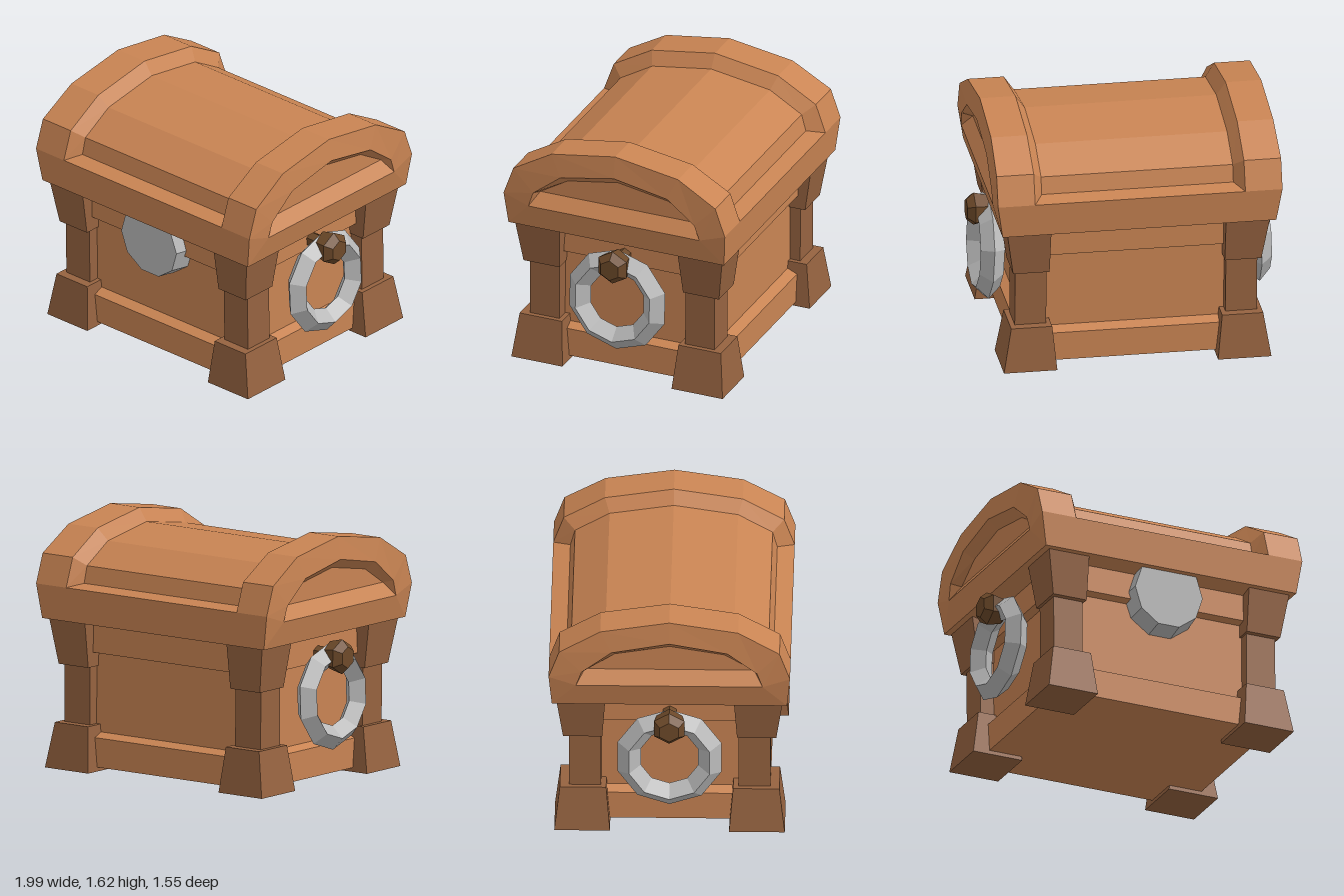
import * as THREE from 'three';

const flat = (color, name) => {
  const m = new THREE.MeshStandardMaterial({ color, flatShading: true });
  m.name = name;
  return m;
};

// Skins a row of equal-length closed rings and caps both ends
function loft(rings) {
  const n = rings[0].length, last = (rings.length - 1) * n, index = [];
  for (let i = 0; i < rings.length - 1; i++) {
    for (let j = 0; j < n; j++) {
      const k = (j + 1) % n;
      const a = i * n + j, b = a + n, c = (i + 1) * n + k, d = i * n + k;
      index.push(a, b, c, a, c, d);
    }
  }
  for (let k = 1; k < n - 1; k++) {
    index.push(0, k, k + 1, last, last + k + 1, last + k);
  }
  const g = new THREE.BufferGeometry();
  g.setAttribute('position', new THREE.Float32BufferAttribute(rings.flat(2), 3));
  g.setIndex(index);
  const out = g.toNonIndexed();
  out.computeVertexNormals();
  return out;
}

// Horizontal rectangle used as one level of a stacked loft
const level = (y, x0, x1, z0, z1) => [[x1, y, z1], [x0, y, z1], [x0, y, z0], [x1, y, z0]];
const centredLevel = (y, x, z) => level(y, -x, x, -z, z);

// Lid cross-section: half profile of [z, y, x] mirrored over the ridge
function section(half, side, x) {
  const p = [...half, ...half.slice(0, -1).reverse().map(([z, y, px]) => [-z, y, px])];
  return p.map(([z, y, px]) => [side * (x ?? px), y, z]);
}

// Upright decagon, leaning slightly forward at the top
const decagon = (r, cy, z) => Array.from({ length: 10 }, (_, i) => {
  const a = -i * Math.PI / 5;
  return [r * Math.cos(a), cy + r * Math.sin(a), z + 0.04 * r * Math.sin(a)];
});

export function createModel() {
  const wood = flat(0xc98453, 'wood');
  const darkWood = flat(0x966340, 'dark wood');
  const metal = flat(0xbababa, 'metal');
  const knobWood = flat(0x6e4a2a, 'knob wood');

  const model = new THREE.Group();
  model.name = 'chest';
  const chest = new THREE.Group();
  chest.name = 'chestParts';
  chest.rotation.set(0, 0.004, 0.009); // stands slightly crooked
  chest.position.x = 0.01;
  model.add(chest);
  const add = (geometry, material, name, parent = chest) => {
    const mesh = new THREE.Mesh(geometry, material);
    mesh.name = name;
    parent.add(mesh);
    return mesh;
  };

  // Body with a raised lower skirt and upper band
  add(loft([
    centredLevel(0.035, 0.75, 0.637),
    centredLevel(0.225, 0.75, 0.637),
    centredLevel(0.252, 0.69, 0.57),
    centredLevel(0.763, 0.69, 0.57),
    centredLevel(0.774, 0.75, 0.63),
    centredLevel(0.97, 0.75, 0.63),
  ]), wood, 'body');

  // Corner posts: [y, inner x, outer x, inner z, outer z]
  const postLevels = [
    [0.008, 0.52, 0.865, 0.38, 0.735],
    [0.303, 0.55, 0.815, 0.405, 0.7],
    [0.303, 0.58, 0.783, 0.438, 0.642],
    [0.68, 0.58, 0.783, 0.438, 0.642],
    [0.68, 0.567, 0.803, 0.43, 0.68],
    [0.98, 0.565, 0.85, 0.41, 0.722],
  ];
  for (const sx of [-1, 1]) {
    for (const sz of [-1, 1]) {
      const rings = postLevels.map(([y, xi, xo, zi, zo]) => level(y,
        Math.min(sx * xi, sx * xo), Math.max(sx * xi, sx * xo),
        Math.min(sz * zi, sz * zo), Math.max(sz * zi, sz * zo)));
      add(loft(rings), darkWood, 'cornerPost');
    }
  }

  // Lid: thick end arches, sunken middle, recessed panel in each end
  const outer = [[0.75, 0.977, 0.885], [0.77, 1.2, 0.92], [0.77, 1.2, 0.92],
    [0.703, 1.388, 0.92], [0.44, 1.54, 0.913], [0, 1.61, 0.91]];
  const inner = [[0.75, 0.977], [0.77, 1.2], [0.66, 1.22], [0.63, 1.33], [0.41, 1.46], [0, 1.525]];
  const rim = [[0.595, 1.142, 0.925], [0.595, 1.142, 0.925], [0.595, 1.142, 0.925],
    [0.56, 1.245, 0.93], [0.37, 1.393, 0.93], [0, 1.463, 0.93]];
  const floor = [[0.54, 1.228, 0.86], [0.54, 1.228, 0.86], [0.54, 1.228, 0.86],
    [0.54, 1.228, 0.86], [0.35, 1.342, 0.86], [0, 1.402, 0.86]];
  const endRings = (s) => [section(floor, s), section(rim, s), section(outer, s),
    section(outer, s, 0.68), section(inner, s, 0.62)];
  add(loft([...endRings(-1), ...endRings(1).reverse()]), wood, 'lid');

  // Underside of the lid, sinking a little towards the body
  add(loft([
    centredLevel(0.948, 0.74, 0.62),
    centredLevel(0.977, 0.885, 0.75),
  ]), wood, 'lidUnderside');

  // Lock plate
  add(loft([decagon(0.25, 0.812, 0.56), decagon(0.238, 0.828, 0.715)]), metal, 'lockPlate');

  // Ring handle and knob on each end
  const knobProfile = [[0.05, 0.68], [0.05, 0.82], [0.09, 0.85], [0.113, 0.945], [0.07, 0.993], [0, 0.993]];
  for (const s of [1, -1]) {
    const handle = new THREE.Group();
    handle.name = s > 0 ? 'leftHandle' : 'rightHandle';
    handle.rotation.y = s > 0 ? 0 : Math.PI;
    chest.add(handle);

    const ringGeometry = new THREE.TorusGeometry(0.27, 0.078, 4, 10);
    ringGeometry.rotateZ(Math.PI / 2);
    ringGeometry.rotateY(Math.PI / 2);
    const ring = add(ringGeometry, metal, 'handleRing', handle);
    ring.position.set(0.865, 0.57, 0);
    ring.rotation.z = 0.04;

    const knob = new THREE.LatheGeometry(knobProfile.map(([r, h]) => new THREE.Vector2(r, h)), 6);
    knob.rotateZ(-Math.PI / 2);
    knob.rotateX(Math.PI / 2);
    add(knob, knobWood, 'knob', handle).position.y = 0.833;
  }
  return model;
}
